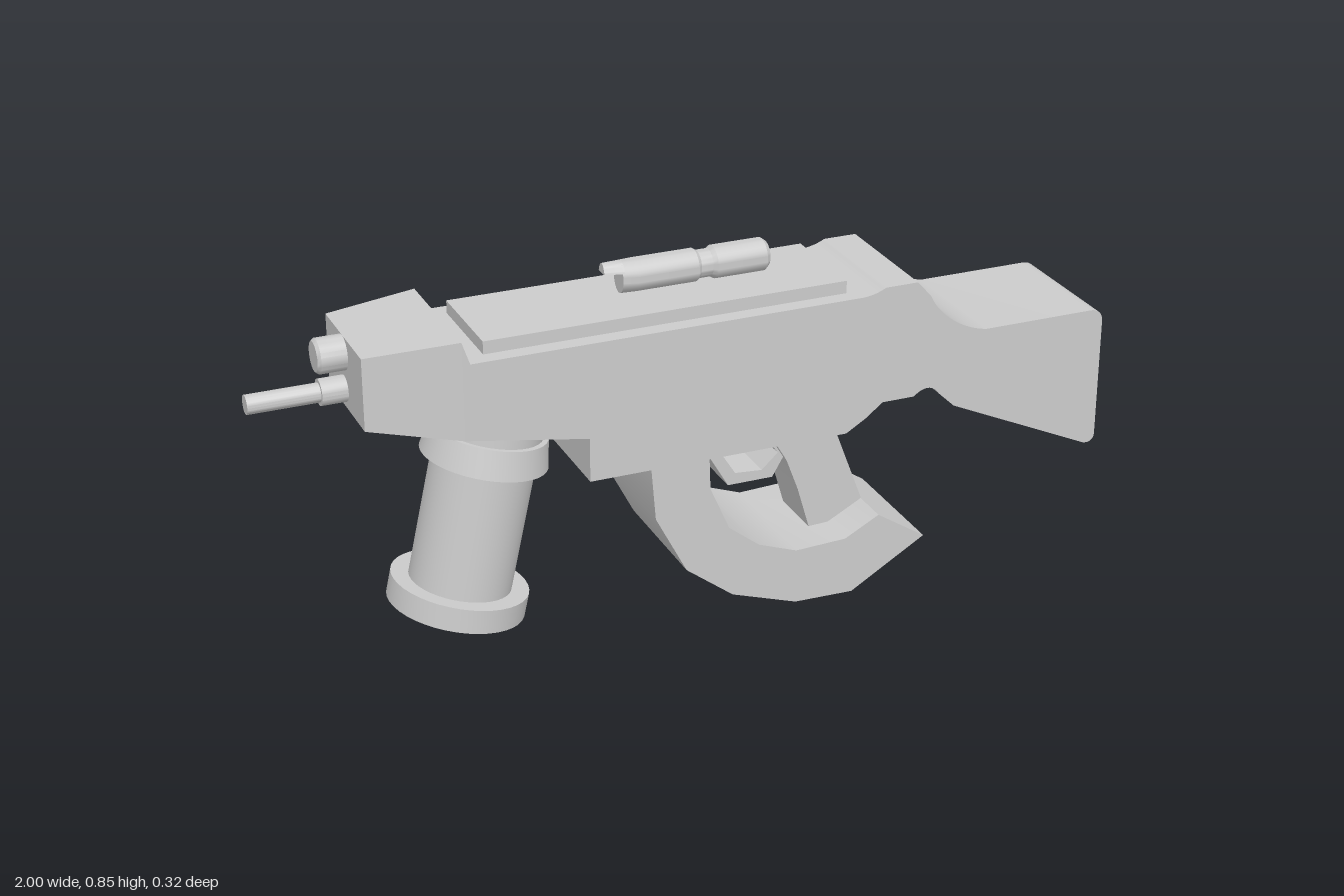
import * as THREE from 'three';
import { toCreasedNormals } from 'three/addons/utils/BufferGeometryUtils.js';

const material = new THREE.MeshStandardMaterial({ color: 0xcccccc });

export function createModel() {
  const model = new THREE.Group();

  const add = (name, geometry, parent = model) => {
    const mesh = new THREE.Mesh(geometry, material);
    mesh.name = name;
    parent.add(mesh);
    return mesh;
  };

  // Side profile extruded evenly about a z centre
  const slab = (shape, halfWidth, z = 0) => {
    const g = new THREE.ExtrudeGeometry(shape, { depth: halfWidth * 2, bevelEnabled: false, curveSegments: 12 });
    return toCreasedNormals(g.translate(0, 0, z - halfWidth), 0.45);
  };
  const polygon = (points) => new THREE.Shape(points.map(([x, y]) => new THREE.Vector2(x, y)));

  // Turned part: profile of [radius, height] pairs, closed on the axis
  const turned = (profile, segments = 32) => {
    const points = [[0, profile[0][1]], ...profile, [0, profile.at(-1)[1]]];
    const g = new THREE.LatheGeometry(points.map(([r, h]) => new THREE.Vector2(r, h)), segments);
    return toCreasedNormals(g, 0.5);
  };
  // Turned part lying along x
  const turnedX = (profile, y, z, segments) =>
    turned(profile, segments).rotateZ(-Math.PI / 2).translate(0, y, z);

  // Receiver and shoulder stock in one outline
  const body = new THREE.Shape();
  body.moveTo(-0.57, 0.573);
  body.lineTo(-0.285, 0.525);
  body.lineTo(-0.285, 0.42);
  body.lineTo(0.34, 0.42);
  body.lineTo(0.39, 0.45);
  body.lineTo(0.43, 0.482);
  body.lineTo(0.51, 0.482);
  body.quadraticCurveTo(0.55, 0.515, 0.575, 0.478);
  body.lineTo(0.615, 0.44);
  body.lineTo(0.972, 0.277);
  body.quadraticCurveTo(1, 0.273, 1, 0.3);
  body.lineTo(1, 0.585);
  body.quadraticCurveTo(1, 0.62, 0.965, 0.62);
  body.lineTo(0.69, 0.62);
  body.bezierCurveTo(0.61, 0.635, 0.56, 0.69, 0.545, 0.725);
  body.lineTo(0.51, 0.765);
  body.lineTo(0.43, 0.765);
  body.quadraticCurveTo(0.4, 0.75, 0.37, 0.75);
  body.lineTo(-0.552, 0.75);
  body.lineTo(-0.57, 0.803);
  add('body', slab(body, 0.16));

  // Front block narrowing towards the muzzle
  const block = new THREE.ExtrudeGeometry(
    polygon([[-0.78, 0.62], [-0.57, 0.573], [-0.57, 0.803], [-0.78, 0.788]]),
    { depth: 0.32, bevelEnabled: false }).translate(0, 0, -0.16);
  const bp = block.attributes.position;
  for (let i = 0; i < bp.count; i++) if (bp.getX(i) < -0.7) bp.setZ(i, bp.getZ(i) * 0.82 - 0.005);
  block.computeVertexNormals();
  add('frontBlock', block);

  // Top rail
  add('topRail', new THREE.BoxGeometry(0.86, 0.05, 0.243).translate(-0.08, 0.755, 0));

  // Muzzle parts
  const axisZ = -0.013;
  add('barrel', turnedX([[0.022, -1], [0.022, -0.838], [0.03, -0.838], [0.03, -0.75]], 0.663, axisZ, 24));
  add('upperTube', turnedX([[0.034, -0.845], [0.04, -0.838], [0.04, -0.75]], 0.748, axisZ, 24));

  // Scope with a waist and a projecting hood at its front end
  const scope = new THREE.Group();
  scope.name = 'scope';
  scope.position.set(0, 0.819, axisZ);
  model.add(scope);
  const taper = (g) => {
    const p = g.attributes.position;
    for (let i = 0; i < p.count; i++) {
      const t = THREE.MathUtils.clamp((p.getX(i) + 0.185) / 0.075, 0, 1);
      p.setZ(i, p.getZ(i) * (0.5 + 0.5 * t));
    }
    return g;
  };
  add('scopeTube', taper(turnedX([
    [0.038, -0.145], [0.038, -0.11], [0.038, 0.034], [0.032, 0.042], [0.032, 0.07],
    [0.038, 0.08], [0.038, 0.2], [0.03, 0.21],
  ], 0, 0, 32)), scope);
  const hood = new THREE.Shape();
  hood.absarc(0, 0, 0.038, 0.42, Math.PI - 0.42);
  hood.closePath();
  const hoodGeometry = new THREE.ExtrudeGeometry(hood, { depth: 0.045, bevelEnabled: false, curveSegments: 14 })
    .rotateY(Math.PI / 2).translate(-0.185, 0, 0);
  add('scopeHood', toCreasedNormals(taper(hoodGeometry), 0.5), scope);

  // Slanted round magazine under the front
  const magazine = add('magazine', turned([
    [0.159, 0], [0.159, 0.057], [0.118, 0.057], [0.118, 0.363], [0.146, 0.363],
    [0.134, 0.43], [0.122, 0.43], [0.122, 0.53],
  ], 40));
  magazine.position.set(-0.555, 0.095, 0);
  magazine.rotation.z = -0.22;

  // Wide hand guard hooking beneath the grip
  add('handGuard', slab(polygon([
    [-0.14, 0.44], [-0.14, 0.42], [-0.13, 0.295], [-0.055, 0.15], [0.06, 0.062], [0.22, 0.008],
    [0.365, 0.005], [0.55, 0.115], [0.43, 0.193], [0.345, 0.148], [0.22, 0.143], [0.125, 0.178],
    [0.05, 0.237], [0.003, 0.345], [0, 0.44],
  ]), 0.16));

  // Grip post
  add('grip', slab(polygon([
    [0.17, 0.44], [0.235, 0.33], [0.265, 0.25], [0.3, 0.13], [0.4, 0.13], [0.43, 0.195], [0.345, 0.42], [0.34, 0.44],
  ]), 0.071, -0.004));

  // Trigger guard loop
  const loop = polygon([[0.06, 0.44], [0.04, 0.38], [0.095, 0.285], [0.207, 0.285], [0.245, 0.35], [0.19, 0.44]]);
  loop.holes.push(new THREE.Path([[0.105, 0.42], [0.08, 0.365], [0.113, 0.313], [0.18, 0.308], [0.22, 0.345], [0.17, 0.42]]
    .map(([x, y]) => new THREE.Vector2(x, y))));
  add('triggerGuard', slab(loop, 0.05));

  return model;
}
